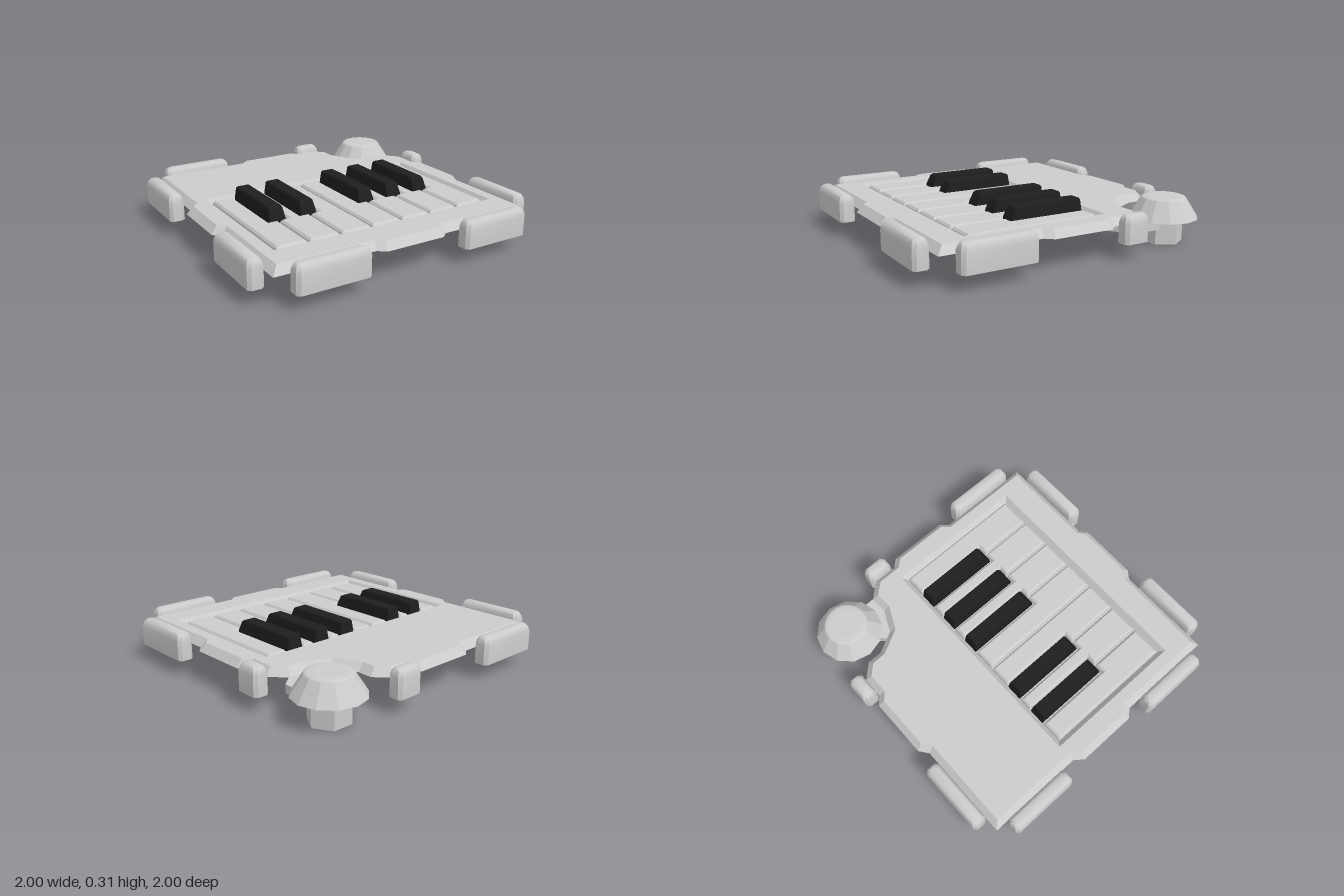
import * as THREE from 'three';
import { toCreasedNormals } from 'three/addons/utils/BufferGeometryUtils.js';

const grey = new THREE.MeshStandardMaterial({ color: 0xcccccc, side: THREE.DoubleSide });
const black = new THREE.MeshStandardMaterial({ color: 0x1e1e1e, side: THREE.DoubleSide });

// Plan outlines are [x, z] points running back-left, back-right, front-right, front-left.
const rect = (x0, x1, z0, z1) => [[x0, z0], [x1, z0], [x1, z1], [x0, z1]];

// Moves every side of an outline inwards by d, with mitred corners.
function inset(pts, d) {
  const n = pts.length;
  const normal = (a, b) => {
    const dx = b[0] - a[0], dz = b[1] - a[1], l = Math.hypot(dx, dz);
    return [-dz / l, dx / l];
  };
  return pts.map((p, i) => {
    const a = normal(pts[(i + n - 1) % n], p), b = normal(p, pts[(i + 1) % n]);
    const k = d / (1 + a[0] * b[0] + a[1] * b[1]);
    return [p[0] + (a[0] + b[0]) * k, p[1] + (a[1] + b[1]) * k];
  });
}

// Skins a stack of outlines; each ring is [outline, height or height(z)].
function loft(rings, { top = true, bottom = false, hole = null, crease = 0.3 } = {}) {
  const pos = [];
  const levels = rings.map(([pts, y]) =>
    pts.map(([x, z]) => [x, typeof y === 'function' ? y(z) : y, z]));
  for (let r = 0; r + 1 < levels.length; r++) {
    const lo = levels[r], hi = levels[r + 1];
    lo.forEach((p, i) => {
      const j = (i + 1) % lo.length;
      pos.push(...lo[j], ...p, ...hi[i], ...lo[j], ...hi[i], ...hi[j]);
    });
  }
  const cap = (pts, up, cut) => {
    const flat = (l) => l.map((p) => new THREE.Vector2(p[0], p[2]));
    const holes = cut ? [cut] : [];
    const all = pts.concat(...holes);
    for (const [a, b, c] of THREE.ShapeUtils.triangulateShape(flat(pts), holes.map(flat))) {
      const [p, q, s] = [all[a], all[b], all[c]];
      const ny = (q[2] - p[2]) * (s[0] - p[0]) - (q[0] - p[0]) * (s[2] - p[2]);
      if ((ny > 0) === up) pos.push(...p, ...q, ...s);
      else pos.push(...p, ...s, ...q);
    }
  };
  const last = levels[levels.length - 1];
  if (top) cap(last, true, hole && hole.map(([x, z]) => [x, last[0][1], z]));
  if (bottom) cap(levels[0], false);
  const geo = new THREE.BufferGeometry();
  geo.setAttribute('position', new THREE.Float32BufferAttribute(pos, 3));
  return toCreasedNormals(geo, crease);
}

export function createModel() {
  const model = new THREE.Group();
  const add = (name, geo, mat = grey, parent = model) => {
    const mesh = new THREE.Mesh(geo, mat);
    mesh.name = name;
    parent.add(mesh);
    return mesh;
  };
  const group = (name) => {
    const g = new THREE.Group();
    g.name = name;
    model.add(g);
    return g;
  };

  // Thin panel with a sloping rim, edge bumps and a cut-out corner
  const outline = [
    [-0.9, -0.9], [-0.26, -0.9], [-0.2, -0.945], [0.2, -0.945], [0.25, -0.9], [0.39, -0.9],
    [0.475, -0.81], [0.475, -0.71], [0.55, -0.57], [0.69, -0.505], [0.81, -0.51], [0.9, -0.41],
    [0.9, -0.25], [0.945, -0.2], [0.945, 0.2], [0.9, 0.25], [0.9, 0.9],
    [0.25, 0.9], [0.2, 0.94], [-0.2, 0.94], [-0.25, 0.9], [-0.9, 0.9],
    [-0.9, 0.25], [-0.945, 0.2], [-0.945, -0.2], [-0.9, -0.25],
  ];
  const opening = rect(-0.785, 0.785, -0.27, 0.69);
  add('panel', loft([[outline, 0.195], [inset(outline, 0.042), 0.245]], { hole: opening }));

  // Wedge-shaped key tray hanging below the panel, with a bevelled inner lip
  const slope = (z) => 0.2 - (z + 0.27) * 0.073;
  add('keyTray', loft([
    [opening, slope], [opening, 0.245], [inset(opening, 0.035), 0.2],
  ], { bottom: true }));

  // Seven white keys, notched around the black ones
  const keyWidth = 0.2165, left = -0.757;
  const hasBlack = [false, true, true, false, true, true, true, false];
  const whiteKeys = group('whiteKeys');
  for (let i = 0; i < 7; i++) {
    const x0 = left + i * keyWidth + 0.003, x1 = x0 + keyWidth - 0.006;
    const zb = -0.24, zf = 0.655, zn = 0.28, cut = 0.06;
    const shape = [];
    if (hasBlack[i]) shape.push([x0 + cut, zb]);
    else shape.push([x0, zb]);
    if (hasBlack[i + 1]) shape.push([x1 - cut, zb], [x1 - cut, zn], [x1, zn]);
    else shape.push([x1, zb]);
    shape.push([x1, zf], [x0, zf]);
    if (hasBlack[i]) shape.push([x0, zn], [x0 + cut, zn]);
    add('whiteKey', loft([[shape, 0.2], [inset(shape, 0.006), 0.225],
      [inset(shape, 0.018), 0.238]]), grey, whiteKeys);
  }

  // Five tapered black keys
  const blackKeys = group('blackKeys');
  hasBlack.forEach((on, i) => {
    if (!on) return;
    const x = left + i * keyWidth;
    add('blackKey', loft([
      [rect(x - 0.055, x + 0.055, -0.238, 0.275), 0.2],
      [rect(x - 0.053, x + 0.053, -0.232, 0.268), 0.24],
      [rect(x - 0.046, x + 0.046, -0.226, 0.24), 0.3],
      [rect(x - 0.04, x + 0.04, -0.22, 0.225), 0.31],
    ]), black, blackKeys);
  });

  // Rounded, open-bottomed bumpers around the edge
  const bumpers = group('bumpers');
  const spans = [
    [-0.81, -0.335, 0.9, 1], [0.335, 0.81, 0.9, 1],
    [-0.81, -0.335, -1, -0.9], [0.26, 0.44, -1, -0.9],
    [-1, -0.9, 0.335, 0.81], [-1, -0.9, -0.82, -0.345],
    [0.9, 1, 0.335, 0.81], [0.9, 1, -0.44, -0.265],
  ];
  for (const [x0, x1, z0, z1] of spans) {
    const c = 0.02;
    const plan = (d) => {
      const [a, b, e, f] = [x0 + d, x1 - d, z0 + d, z1 - d];
      return [[a + c, e], [b - c, e], [b, e + c], [b, f - c],
        [b - c, f], [a + c, f], [a, f - c], [a, e + c]];
    };
    add('bumper', loft([
      [plan(0), 0.1], [plan(0), 0.225], [plan(0.006), 0.25], [plan(0.015), 0.267], [plan(0.027), 0.275],
    ], { crease: 0.65 }), grey, bumpers);
  }

  // Corner knob: hexagonal stem, faceted flared cap and a smooth shallow dome
  const knob = group('knob');
  knob.position.set(0.75, 0, -0.765);
  const stem = add('knobStem', new THREE.CylinderGeometry(0.13, 0.13, 0.19, 6).toNonIndexed(), grey, knob);
  stem.geometry = toCreasedNormals(stem.geometry, 0.3);
  stem.position.y = 0.095;
  stem.rotation.y = Math.PI / 2;
  const cap = new THREE.CylinderGeometry(0.142, 0.222, 0.125, 12, 1, true);
  cap.translate(0, 0.2225, 0);
  add('knobCap', toCreasedNormals(cap, 0.3), grey, knob);
  const dome = [[0.142, 0.284], [0.135, 0.291], [0.12, 0.296], [0.08, 0.297], [0, 0.295]];
  add('knobTop', new THREE.LatheGeometry(dome.map(([r, y]) => new THREE.Vector2(r, y)), 32), grey, knob);

  // Flat arm joining the knob to the underside of the tray
  const arm = [[0.26, -0.32], [0.61, -0.68], [0.83, -0.68], [0.83, -0.49], [0.46, -0.18]];
  add('knobArm', loft([[arm, 0.1], [arm, 0.155]], { bottom: true }));

  return model;
}
